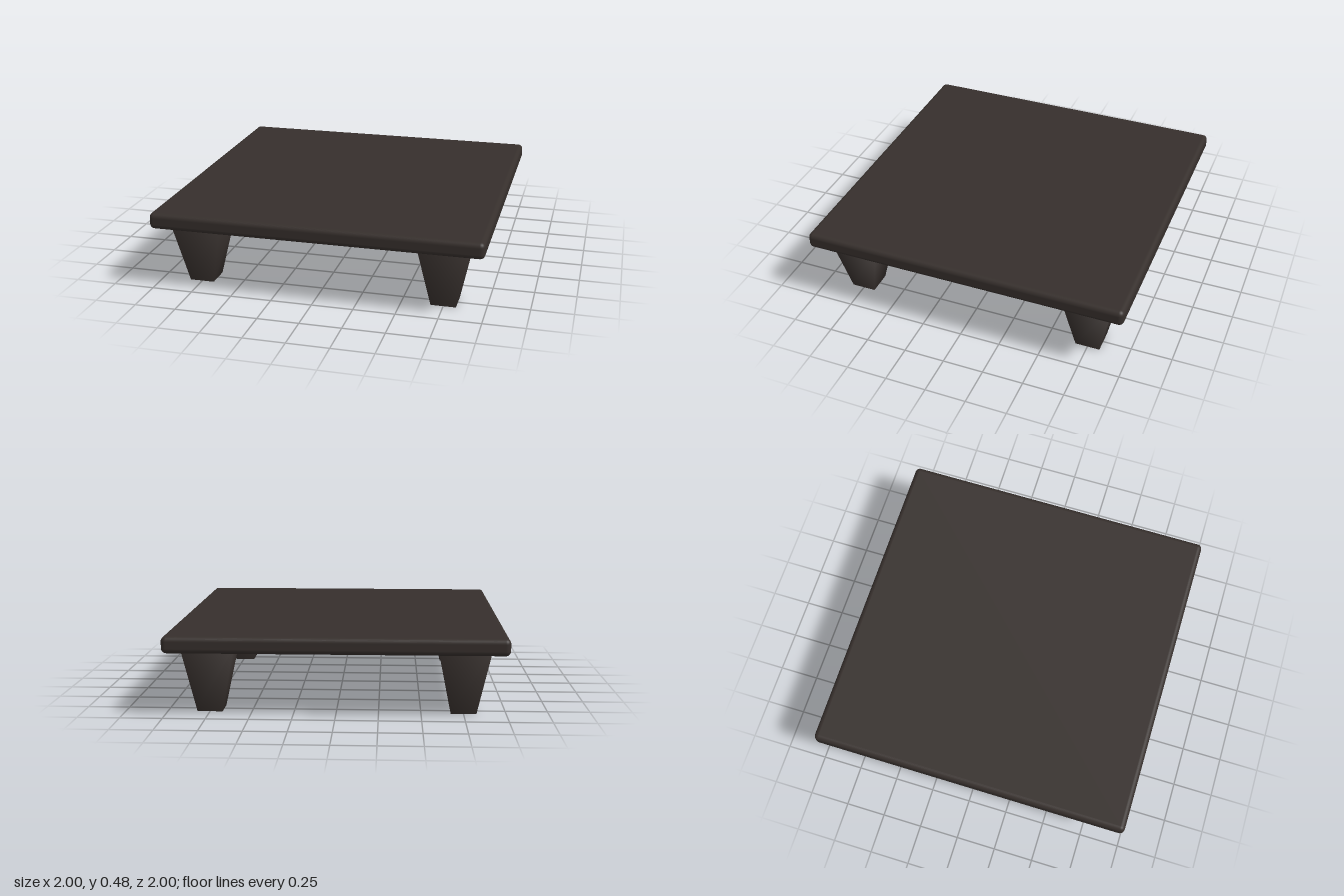
import * as THREE from 'three';
import { RoundedBoxGeometry } from 'three/addons/geometries/RoundedBoxGeometry.js';
import { mergeVertices } from 'three/addons/utils/BufferGeometryUtils.js';

const LEG_HEIGHT = 0.385;
const TOP_THICKNESS = 0.1;

// Square leg, half as wide at the foot, with normals shared across its edges
function taperedLeg(topWidth, footWidth, height) {
  const box = new THREE.BoxGeometry(topWidth, height, topWidth);
  box.deleteAttribute('normal');
  box.deleteAttribute('uv');
  const leg = mergeVertices(box);
  const p = leg.attributes.position;
  for (let i = 0; i < p.count; i++) {
    if (p.getY(i) > 0) continue;
    const s = footWidth / topWidth;
    p.setXYZ(i, p.getX(i) * s, p.getY(i), p.getZ(i) * s);
  }
  leg.computeVertexNormals();
  return leg;
}

export function createModel() {
  const table = new THREE.Group();
  table.name = 'lowTable';
  const material = new THREE.MeshStandardMaterial({ color: 0x362f2c });

  // Table top with softly rounded edges
  const top = new THREE.Mesh(new RoundedBoxGeometry(2, TOP_THICKNESS, 2, 4, 0.03), material);
  top.name = 'tableTop';
  top.position.y = 0.38 + TOP_THICKNESS / 2;
  table.add(top);

  // Four legs, one near each corner
  const legGeometry = taperedLeg(0.305, 0.15, LEG_HEIGHT);
  for (const [zName, z] of [['front', 0.75], ['back', -0.75]]) {
    for (const [xName, x] of [['Left', 0.75], ['Right', -0.75]]) {
      const leg = new THREE.Mesh(legGeometry, material);
      leg.name = `${zName}${xName}Leg`;
      leg.position.set(x, LEG_HEIGHT / 2, z);
      table.add(leg);
    }
  }
  return table;
}
